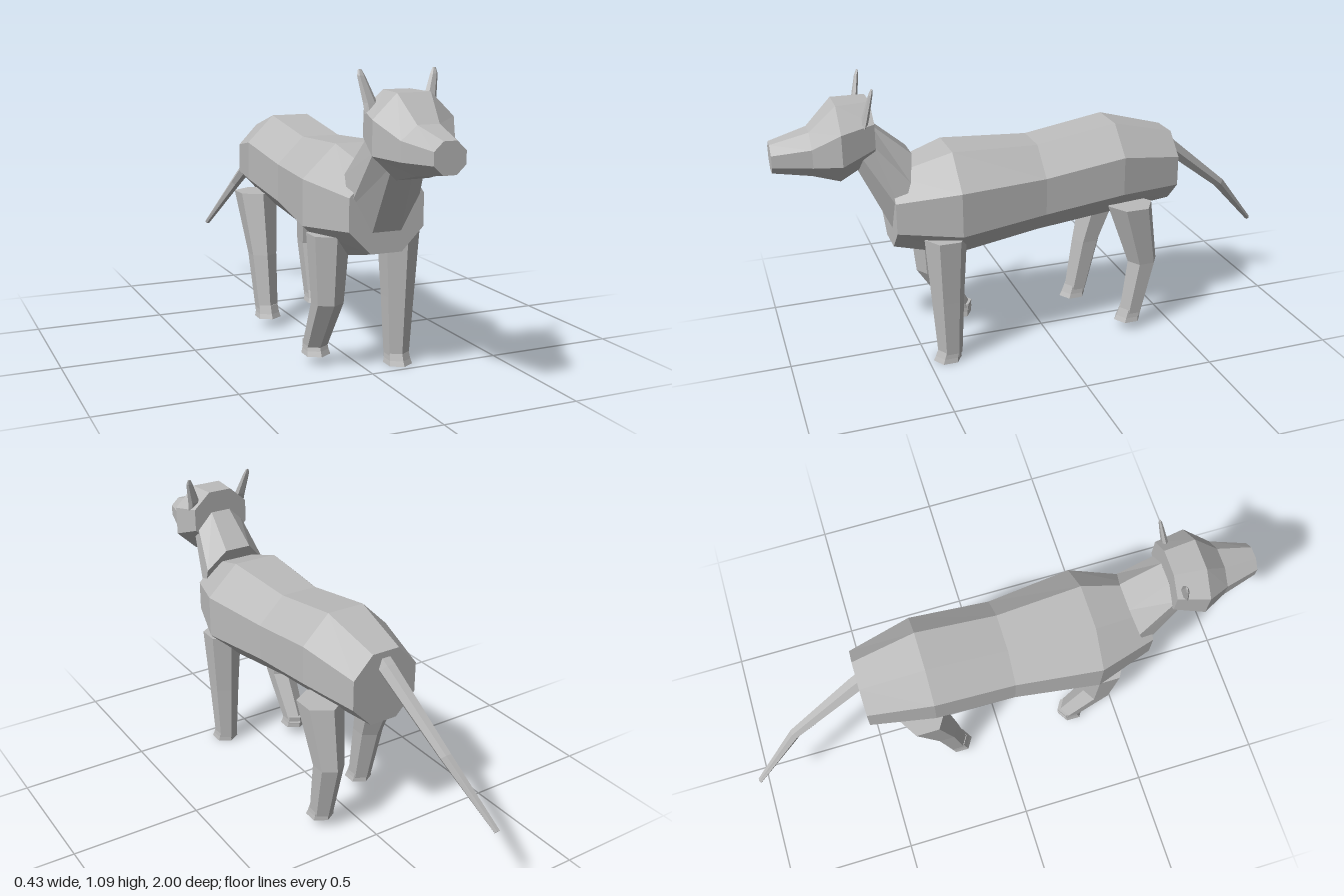
import * as THREE from 'three';

// Skin a solid through rings [x, y, z, halfWidth, halfHeight, tilt].
// Tilt 0 faces +z, PI/2 faces up, -PI/2 faces down.
function loft(rings, sides, phase) {
  const pts = rings.map(([x, y, z, rx, ry, t]) =>
    Array.from({ length: sides }, (_, j) => {
      const a = phase + (j / sides) * Math.PI * 2;
      const s = Math.sin(a) * ry;
      return [x + Math.cos(a) * rx, y + s * Math.cos(t), z - s * Math.sin(t)];
    }));
  const pos = [];
  const tri = (a, b, c) => pos.push(...a, ...b, ...c);
  for (let i = 0; i < pts.length - 1; i++) {
    for (let j = 0; j < sides; j++) {
      const k = (j + 1) % sides;
      tri(pts[i][j], pts[i][k], pts[i + 1][k]);
      tri(pts[i][j], pts[i + 1][k], pts[i + 1][j]);
    }
  }
  const first = pts[0], last = pts[pts.length - 1];
  for (let j = 1; j < sides - 1; j++) {
    tri(first[0], first[j + 1], first[j]);
    tri(last[0], last[j], last[j + 1]);
  }
  const geo = new THREE.BufferGeometry();
  geo.setAttribute('position', new THREE.Float32BufferAttribute(pos, 3));
  geo.computeVertexNormals();
  return geo;
}

// Octagon with flat top and sides; w and h are flat-to-flat half sizes
const K = 1 / Math.cos(Math.PI / 8);
const oct = (y, z, w, h, tilt = 0) => [0, y, z, w * K, h * K, tilt];

export function createModel() {
  const group = new THREE.Group();
  const grey = new THREE.MeshStandardMaterial({ color: 0xbbbbbb, flatShading: true });
  grey.name = 'plain grey';
  const add = (name, rings, sides, phase) => {
    const mesh = new THREE.Mesh(loft(rings, sides, phase), grey);
    mesh.name = name;
    group.add(mesh);
  };

  // Body, rump to chest
  add('body', [
    oct(0.643, -0.515, 0.132, 0.138),
    oct(0.667, -0.27, 0.18, 0.178),
    oct(0.625, 0.04, 0.175, 0.17),
    oct(0.61, 0.37, 0.213, 0.2),
    oct(0.6, 0.595, 0.14, 0.14),
  ], 8, Math.PI / 8);

  // Neck leaning forward
  add('neck', [
    oct(0.672, 0.553, 0.13, 0.144, 0.3),
    oct(0.855, 0.68, 0.1, 0.082, 0.38),
  ], 8, Math.PI / 8);

  // Head and muzzle
  add('head', [
    oct(0.91, 0.65, 0.118, 0.108),
    oct(0.878, 0.77, 0.145, 0.138),
    oct(0.845, 0.865, 0.095, 0.08),
    oct(0.838, 1.0, 0.056, 0.052),
  ], 8, Math.PI / 8);

  // Thin ears
  const UP = Math.PI / 2;
  for (const s of [1, -1]) {
    add(s > 0 ? 'leftEar' : 'rightEar', [
      [s * 0.102, 0.945, 0.685, 0.028, 0.012, UP],
      [s * 0.108, 0.98, 0.677, 0.025, 0.012, UP],
      [s * 0.132, 1.065, 0.66, 0.014, 0.007, UP],
      [s * 0.135, 1.085, 0.655, 0.006, 0.003, UP],
    ], 6, 0);
  }

  // Tail swinging down and to the right
  const BACK = Math.PI + 0.72;
  add('tail', [
    [0, 0.74, -0.485, 0.034, 0.036, BACK],
    [-0.005, 0.715, -0.52, 0.033, 0.035, BACK],
    [-0.05, 0.492, -0.8, 0.022, 0.023, BACK],
    [-0.127, 0.275, -0.997, 0.012, 0.01, BACK],
  ], 6, 0);

  // Six-sided legs: top, knee and ankle given as [y, z, radius], then a paw
  const DOWN = -Math.PI / 2;
  const leg = (name, x, joints, lift) => {
    const ring = ([y, z, r], dx = 0) => [x + dx, y, z, r * 0.95, r, DOWN];
    add(name + 'Leg', joints.map((p) => ring(p)), 6, Math.PI / 6);
    const z = joints[joints.length - 1][1];
    add(name + 'Paw', [
      ring([lift + 0.05, z, 0.046]),
      ring([lift + 0.018, z + 0.008, 0.05]),
      ring([lift, z + 0.012, 0.055]),
    ], 6, Math.PI / 6);
  };
  leg('frontLeft', 0.137, [[0.505, 0.417, 0.08], [0.255, 0.417, 0.062], [0.02, 0.415, 0.047]], 0);
  leg('frontRight', -0.137, [[0.505, 0.417, 0.08], [0.255, 0.412, 0.06], [0.06, 0.298, 0.047]], 0.037);
  leg('backLeft', 0.135, [[0.535, -0.315, 0.09], [0.29, -0.374, 0.06], [0.06, -0.33, 0.047]], 0.04);
  leg('backRight', -0.135, [[0.535, -0.315, 0.09], [0.29, -0.243, 0.06], [0.06, -0.197, 0.047]], 0.04);

  return group;
}
